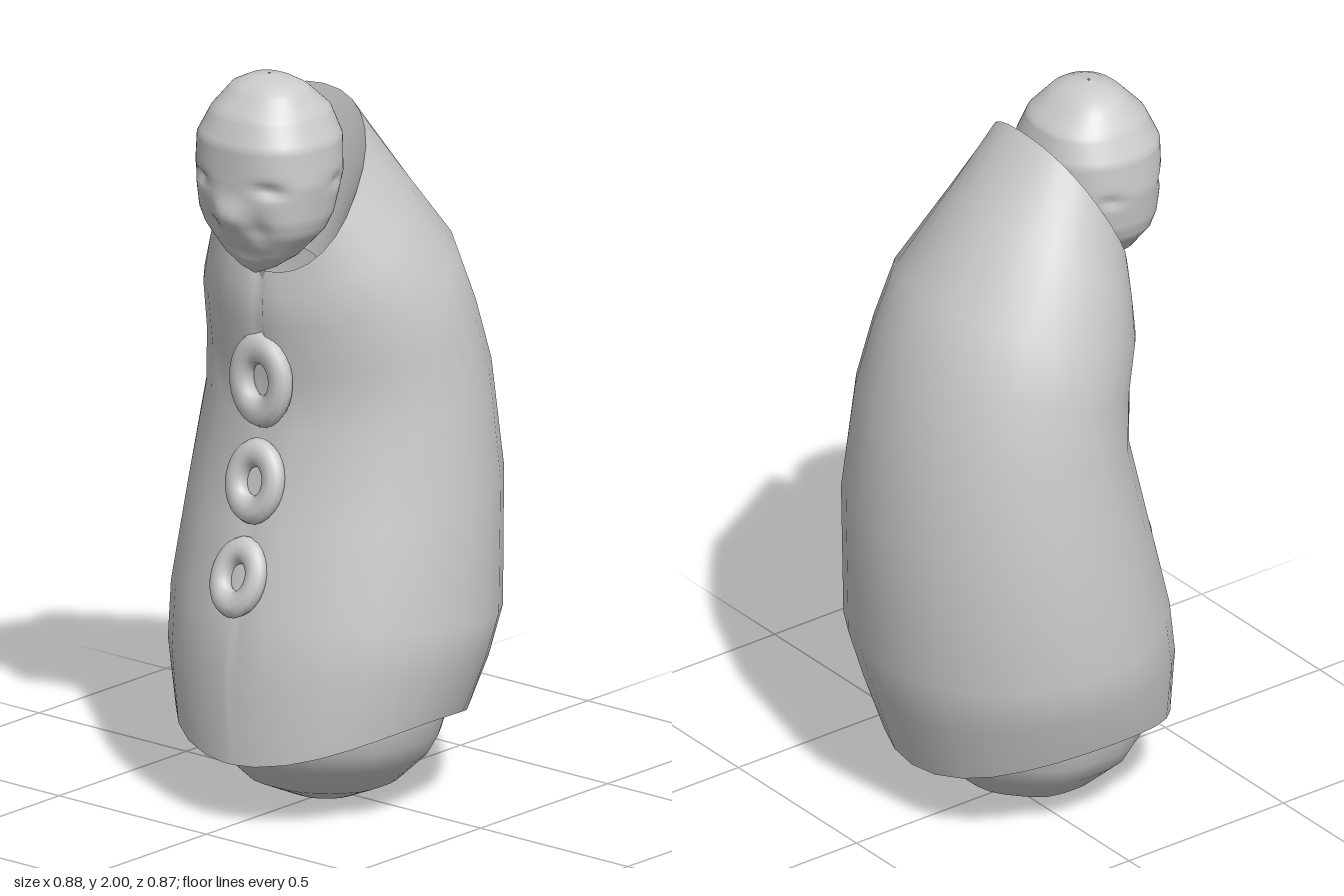
import * as THREE from 'three';

const material = new THREE.MeshStandardMaterial({ color: 0xcccccc, side: THREE.DoubleSide });
const signedPow = (v, p) => Math.sign(v) * Math.pow(Math.abs(v), p);
const bump = (v, centre, width) => Math.exp(-(((v - centre) / width) ** 2));

// Slanted ring: front (zf, yf), back (zb, yb), half width w, side lift, squareness n
function ringPoint([zf, yf, zb, yb, w, lift = 0, n = 2], a) {
  const c = signedPow(Math.cos(a), 2 / n);
  const s = signedPow(Math.sin(a), 2 / n);
  return new THREE.Vector3(
    w * s,
    (yf + yb) / 2 + (c * (yf - yb)) / 2 + lift * s * s,
    (zf + zb) / 2 + (c * (zf - zb)) / 2
  );
}

// Closed loops joined into a smooth skin, listed from bottom to top
function loft(rings, angles, adjust) {
  const positions = [];
  const index = [];
  const count = angles.length;
  rings.forEach((ring, i) => {
    angles.forEach((a, j) => {
      const p = ringPoint(ring, a);
      if (adjust) adjust(p, a, i);
      positions.push(p.x, p.y, p.z);
      if (i === rings.length - 1) return;
      const k = (j + 1) % count;
      const p0 = i * count + j, p1 = i * count + k;
      index.push(p0, p1, p0 + count, p1, p1 + count, p0 + count);
    });
  });
  const geometry = new THREE.BufferGeometry();
  geometry.setAttribute('position', new THREE.Float32BufferAttribute(positions, 3));
  geometry.setIndex(index);
  geometry.computeVertexNormals();
  return geometry;
}

const evenAngles = (n) => Array.from({ length: n }, (_, i) => (i / n) * Math.PI * 2);

function addMesh(group, name, geometry) {
  const mesh = new THREE.Mesh(geometry, material);
  mesh.name = name;
  group.add(mesh);
  return mesh;
}

export function createModel() {
  const model = new THREE.Group();
  model.name = 'cloakedFigure';

  // Cloak, with closely spaced angles around the front seam
  const hem = [0.415, 0.175, -0.32, 0.175, 0.38, 0.105];
  const collar = [0.285, 1.475, 0.035, 1.92, 0.215, 0, 2.3];
  const cloakRings = [
    hem,
    [0.415, 0.4, -0.375, 0.35, 0.425, 0.04],
    [0.392, 0.57, -0.42, 0.5, 0.442],
    [0.33, 0.8, -0.43, 0.9, 0.425],
    [0.265, 1.05, -0.387, 1.2, 0.395],
    [0.272, 1.2, -0.335, 1.37, 0.375],
    [0.297, 1.33, -0.27, 1.53, 0.355],
    [0.298, 1.41, -0.11, 1.74, 0.285],
    collar
  ];
  const seam = 0.05;
  const cloakAngles = [0, seam, ...evenAngles(28).slice(1), Math.PI * 2 - seam];
  addMesh(model, 'cloak', loft(cloakRings, cloakAngles, (p, a, i) => {
    if (a === 0 && i > 1) p.z -= 0.012;
  }));

  // Turned-in edges at the neck and hem
  addMesh(model, 'neckLining', loft([
    [0.26, 1.36, 0.13, 1.5, 0.12],
    [0.27, 1.42, 0.08, 1.74, 0.17, 0, 2.3],
    collar
  ], evenAngles(28)));
  addMesh(model, 'hemLining', loft([
    [0.34, 0.42, -0.3, 0.42, 0.36],
    [0.385, 0.21, -0.29, 0.21, 0.355, 0.1],
    hem
  ], evenAngles(28)));

  // Rounded underside with shallow ribs meeting in a point
  const bodyRings = [
    [0.045, 0.005, 0.04, 0.005, 0.003],
    [0.13, 0.02, -0.05, 0.02, 0.1],
    [0.235, 0.067, -0.145, 0.067, 0.21],
    [0.315, 0.145, -0.215, 0.145, 0.295],
    [0.35, 0.2, -0.25, 0.2, 0.325],
    [0.37, 0.28, -0.27, 0.28, 0.35],
    [0.36, 0.42, -0.29, 0.42, 0.36]
  ];
  addMesh(model, 'underside', loft(bodyRings, evenAngles(32), (p, a) => {
    const scale = 1 - 0.025 * (0.5 + 0.5 * Math.cos(a * 8));
    p.x *= scale;
    p.z = 0.045 + (p.z - 0.045) * scale;
  }));

  // Head outline: y, half width, front z, back z
  const outline = [
    [1.475, 0.004, 0.31, 0.3], [1.495, 0.05, 0.335, 0.25], [1.53, 0.1, 0.36, 0.2],
    [1.6, 0.16, 0.395, 0.14], [1.64, 0.175, 0.41, 0.115], [1.74, 0.19, 0.42, 0.085],
    [1.84, 0.183, 0.42, 0.08], [1.91, 0.148, 0.39, 0.1], [1.97, 0.1, 0.335, 0.165],
    [1.99, 0.06, 0.3, 0.2], [2, 0.004, 0.255, 0.25]
  ];
  const headRings = [];
  outline.forEach((row, i) => {
    const next = outline[i + 1];
    const steps = next ? Math.max(2, Math.round((next[0] - row[0]) / 0.012)) : 1;
    for (let k = 0; k < steps; k++) {
      const [y, w, zf, zb] = next ? row.map((v, m) => v + ((next[m] - v) * k) / steps) : row;
      headRings.push([zf, y, zb, y, w, 0, 2.4]);
    }
  });

  // Facial relief: sunken eyes and side hollows, cheeks, nose and mouth
  addMesh(model, 'head', loft(headRings, evenAngles(64), (p, a) => {
    const side = Math.min(a, Math.PI * 2 - a);
    const y = p.y;
    const nose = 0.025 * bump(side, 0, 0.2) * bump(y, 1.655, 0.045);
    const eyes = 0.1 * bump(y, 1.735, 0.016) * (bump(side, 0.62, 0.25) + 0.7 * bump(side, 1.9, 0.2));
    const cheeks = 0.08 * bump(y, 1.62, 0.035) * bump(side, 0.45, 0.2);
    const mouth = 0.07 * bump(y, 1.545, 0.01) * bump(side, 0, 0.5);
    const scale = 1 - eyes - cheeks - mouth;
    p.x *= scale;
    p.z = 0.25 + (p.z - 0.25) * scale + nose;
  }));

  // Slotted oval buttons following the slope of the front: y, z, half width, half height, tilt
  [
    [1.18, 0.285, 0.1, 0.128, 0.03],
    [0.912, 0.308, 0.092, 0.113, 0.22],
    [0.668, 0.373, 0.085, 0.108, 0.37]
  ].forEach(([y, z, w, h, tilt], i) => {
    const geometry = new THREE.TorusGeometry(0.66, 0.34, 10, 28);
    geometry.scale(w, h, 0.085);
    const button = addMesh(model, 'button' + (i + 1), geometry);
    button.position.set(0, y, z);
    button.rotation.x = -tilt;
  });

  return model;
}
